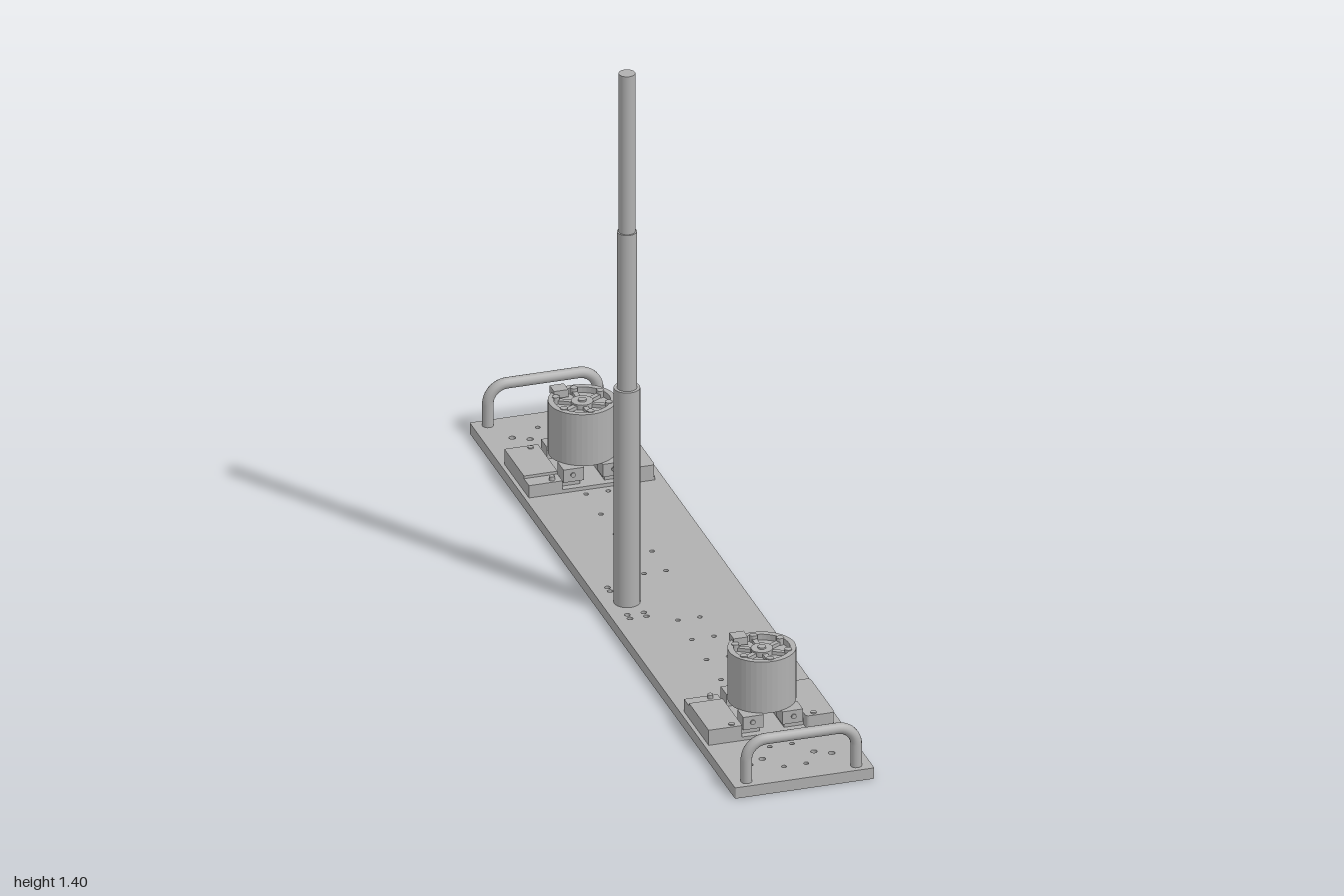
import * as THREE from 'three';

export function createModel() {
  const model = new THREE.Group();
  model.name = 'sensorRail';
  const metal = new THREE.MeshStandardMaterial({ color: 0xb0b0b0 });
  metal.name = 'machined grey';

  const add = (parent, name, geometry, x = 0, y = 0, z = 0) => {
    const mesh = new THREE.Mesh(geometry, metal);
    mesh.name = name;
    mesh.position.set(x, y, z);
    parent.add(mesh);
    return mesh;
  };
  // box given by its limits
  const block = (parent, name, x0, x1, y0, y1, z0, z1) =>
    add(parent, name, new THREE.BoxGeometry(x1 - x0, y1 - y0, z1 - z0),
      (x0 + x1) / 2, (y0 + y1) / 2, (z0 + z1) / 2);
  const rod = (parent, name, r, y0, y1, x, z, sides = 32) =>
    add(parent, name, new THREE.CylinderGeometry(r, r, y1 - y0, sides), x, (y0 + y1) / 2, z);

  // rounded rectangle outline
  const roundRect = (shape, x0, x1, z0, z1, r) => {
    shape.moveTo(x0 + r, z0);
    shape.lineTo(x1 - r, z0);
    shape.quadraticCurveTo(x1, z0, x1, z0 + r);
    shape.lineTo(x1, z1 - r);
    shape.quadraticCurveTo(x1, z1, x1 - r, z1);
    shape.lineTo(x0 + r, z1);
    shape.quadraticCurveTo(x0, z1, x0, z1 - r);
    shape.lineTo(x0, z0 + r);
    shape.quadraticCurveTo(x0, z0, x0 + r, z0);
    return shape;
  };
  const hole = (x, z, r) => {
    const path = new THREE.Path();
    path.absarc(x, z, r, 0, Math.PI * 2, true);
    return path;
  };
  // horizontal slab with holes, from y0 to y1
  const slab = (parent, name, shape, y0, y1) => {
    const geometry = new THREE.ExtrudeGeometry(shape, { depth: y1 - y0, bevelEnabled: false, curveSegments: 6 });
    geometry.rotateX(Math.PI / 2);
    return add(parent, name, geometry, 0, y1, 0);
  };

  // base plate: drilled upper layer, pocketed lower layer
  const upper = roundRect(new THREE.Shape(), -0.17, 0.17, -1, 1, 0.004);
  const lower = roundRect(new THREE.Shape(), -0.17, 0.17, -1, 1, 0.004);
  for (const s of [-1, 1]) {
    for (const z of [0.127, 0.233, 0.343, 0.453, 0.563, 0.82, 0.928]) {
      for (const x of [-0.027, 0.027]) {
        upper.holes.push(hole(x, s * z, 0.006));
        if (z > 0.7) lower.holes.push(hole(x, s * z, 0.006));
      }
    }
    for (const x of [-1, 1]) {
      for (const [hx, hz] of [[0.1, 0.895], [0.063, 0.875]]) {
        upper.holes.push(hole(x * hx, s * hz, 0.008));
        lower.holes.push(hole(x * hx, s * hz, 0.008));
      }
      // counterbores below the handles and drive mounts
      lower.holes.push(hole(x * 0.134, s * 0.965, 0.013));
      for (const z of [0.65, 0.75]) lower.holes.push(hole(x * 0.08, s * z, 0.012));
    }
    for (const x of [-0.13, -0.09]) {
      for (const z of [0.065, 0.085]) upper.holes.push(hole(x, s * z, 0.007));
    }
  }
  for (let i = 0; i < 6; i++) {
    const z = -0.6 + i * 0.2;
    lower.holes.push(roundRect(new THREE.Path(), -0.14, 0.11, z + 0.007, z + 0.193, 0.015));
  }
  slab(model, 'basePlateTop', upper, 0.008, 0.028);
  slab(model, 'basePlateUnderside', lower, 0, 0.008);

  // telescopic mast
  const mast = new THREE.Group();
  mast.name = 'mast';
  model.add(mast);
  [[0.031, 0.02, 0.585], [0.0235, 0.585, 0.99], [0.0195, 0.99, 1.4]].forEach(([r, y0, y1], i) =>
    rod(mast, 'mastSection' + (i + 1), r, y0, y1, -0.11, 0));
  rod(mast, 'mastScrew', 0.014, 0.001, 0.01, -0.11, 0, 16);

  // bent carrying handle
  const v = (x, y) => new THREE.Vector3(x, y, 0);
  const bend = new THREE.CurvePath();
  bend.add(new THREE.LineCurve3(v(-0.134, 0.02), v(-0.134, 0.085)));
  bend.add(new THREE.CubicBezierCurve3(v(-0.134, 0.085), v(-0.134, 0.11), v(-0.113, 0.131), v(-0.088, 0.131)));
  bend.add(new THREE.LineCurve3(v(-0.088, 0.131), v(0.088, 0.131)));
  bend.add(new THREE.CubicBezierCurve3(v(0.088, 0.131), v(0.113, 0.131), v(0.134, 0.11), v(0.134, 0.085)));
  bend.add(new THREE.LineCurve3(v(0.134, 0.085), v(0.134, 0.02)));
  const handleGeometry = new THREE.TubeGeometry(bend, 64, 0.0135, 14);

  // motor housing with a recessed top
  const profile = [[0, 0.082], [0.08, 0.082], [0.08, 0.215], [0.066, 0.215], [0.066, 0.2], [0, 0.2]];
  const housing = new THREE.LatheGeometry(profile.map(([r, y]) => new THREE.Vector2(r, y)), 40);

  for (const s of [-1, 1]) {
    const end = s > 0 ? 'front' : 'back';
    add(model, end + 'Handle', handleGeometry, 0, 0, s * 0.974);

    const unit = new THREE.Group();
    unit.name = end + 'Drive';
    unit.position.z = s * 0.677;
    model.add(unit);

    // mount: floor, two side slabs and corner feet around an open channel
    block(unit, 'mountFloor', -0.16, 0.148, 0.027, 0.037, -0.093, 0.093);
    slab(unit, 'mountRight', roundRect(new THREE.Shape(), 0.078, 0.148, -0.093, 0.093, 0.01), 0.036, 0.067);
    block(unit, 'mountLeft', -0.16, -0.078, 0.036, 0.067, s > 0 ? -0.055 : -0.093, s > 0 ? 0.093 : 0.055);
    block(unit, 'mountLeftStep', -0.16, -0.078, 0.036, 0.06, s > 0 ? -0.093 : 0.055, s > 0 ? -0.055 : 0.093);
    for (const x of [-1, 1]) {
      block(unit, 'channelLedge', Math.min(x * 0.03, x * 0.08), Math.max(x * 0.03, x * 0.08), 0.036, 0.052, -0.075, 0.075);
      for (const z of [-1, 1]) {
        const foot = block(unit, 'motorFoot', -0.025, 0.025, 0.05, 0.083, -0.022, 0.022);
        foot.position.x = x * 0.048;
        foot.position.z = z * 0.063;
        const screw = rod(unit, 'footScrew', 0.006, -0.003, 0.003, 0, 0, 12);
        screw.rotation.x = Math.PI / 2;
        screw.position.set(x * 0.05, 0.068, z * 0.086);
        rod(unit, 'mountBolt', 0.007, 0.06, 0.07, x * 0.1, z * 0.08, 12);
      }
    }

    // motor
    const body = add(unit, 'motorHousing', housing.toNonIndexed());
    body.geometry.computeVertexNormals();
    rod(unit, 'motorHub', 0.026, 0.199, 0.213, 0, 0, 24);
    rod(unit, 'motorShaft', 0.01, 0.21, 0.217, 0, 0, 16);
    for (let i = 0; i < 6; i++) {
      const a = i * Math.PI / 3 + Math.PI / 6;
      const spoke = block(unit, 'hubSpoke', -0.023, 0.023, 0.199, 0.209, -0.006, 0.006);
      spoke.position.x = Math.cos(a) * 0.045;
      spoke.position.z = Math.sin(a) * 0.045;
      spoke.rotation.y = -a;
      rod(unit, 'rimScrew', 0.009, 0.199, 0.217, Math.cos(a) * 0.063, Math.sin(a) * 0.063, 12);
    }
    block(unit, 'connectorTab', -0.055, -0.02, 0.205, 0.224, -0.076, -0.042);
  }
  return model;
}
